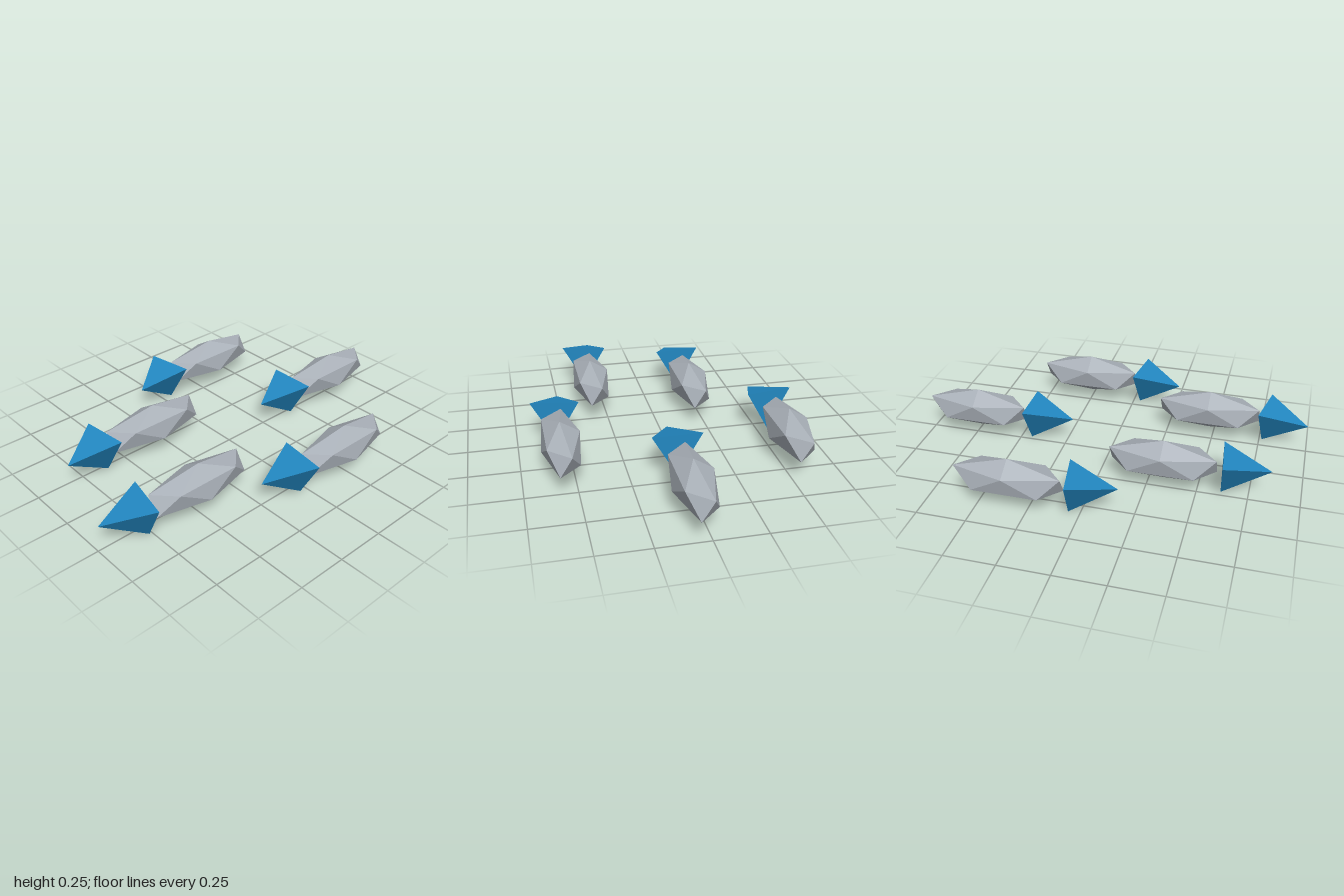
import * as THREE from 'three';

const CENTRE_Y = 0.143;

// One entry per piece: body centre x, body centre z, yaw of the head
const flock = [
  [0.022, -0.735, 0],
  [-0.56, -0.35, 0.17],
  [0.552, -0.255, -0.14],
  [-0.222, 0.325, 0.1],
  [0.31, 0.473, -0.21],
];

// Faceted body: an icosahedron with a corner straight up, stretched along z
function bodyGeometry() {
  const g = new THREE.IcosahedronGeometry(0.106, 0);
  g.rotateZ(Math.atan(2 / (1 + Math.sqrt(5))));
  g.scale(1, 1, 2.93);
  g.computeVertexNormals();
  return g;
}

// Three-sided pyramid, tip forward, one base corner straight down
function headGeometry() {
  const length = 0.236;
  const cone = new THREE.ConeGeometry(0.143, length, 3);
  cone.rotateX(Math.PI / 2);
  cone.translate(0, 0, length / 2);
  const g = cone.toNonIndexed();
  g.computeVertexNormals();
  return g;
}

export function createModel() {
  const model = new THREE.Group();
  model.name = 'flock';

  const grey = new THREE.MeshStandardMaterial({ color: 0xa9b0b8 });
  grey.name = 'grey';
  const blue = new THREE.MeshStandardMaterial({ color: 0x2288c2 });
  blue.name = 'blue';

  const bodyGeo = bodyGeometry();
  const headGeo = headGeometry();

  flock.forEach(([x, z, yaw], i) => {
    const piece = new THREE.Group();
    piece.name = `piece${i + 1}`;
    piece.position.set(x, CENTRE_Y, z);

    const body = new THREE.Mesh(bodyGeo, grey);
    body.name = 'body';

    const head = new THREE.Mesh(headGeo, blue);
    head.name = 'head';
    head.position.z = 0.291;
    head.rotation.y = yaw;

    piece.add(body, head);
    model.add(piece);
  });

  return model;
}
